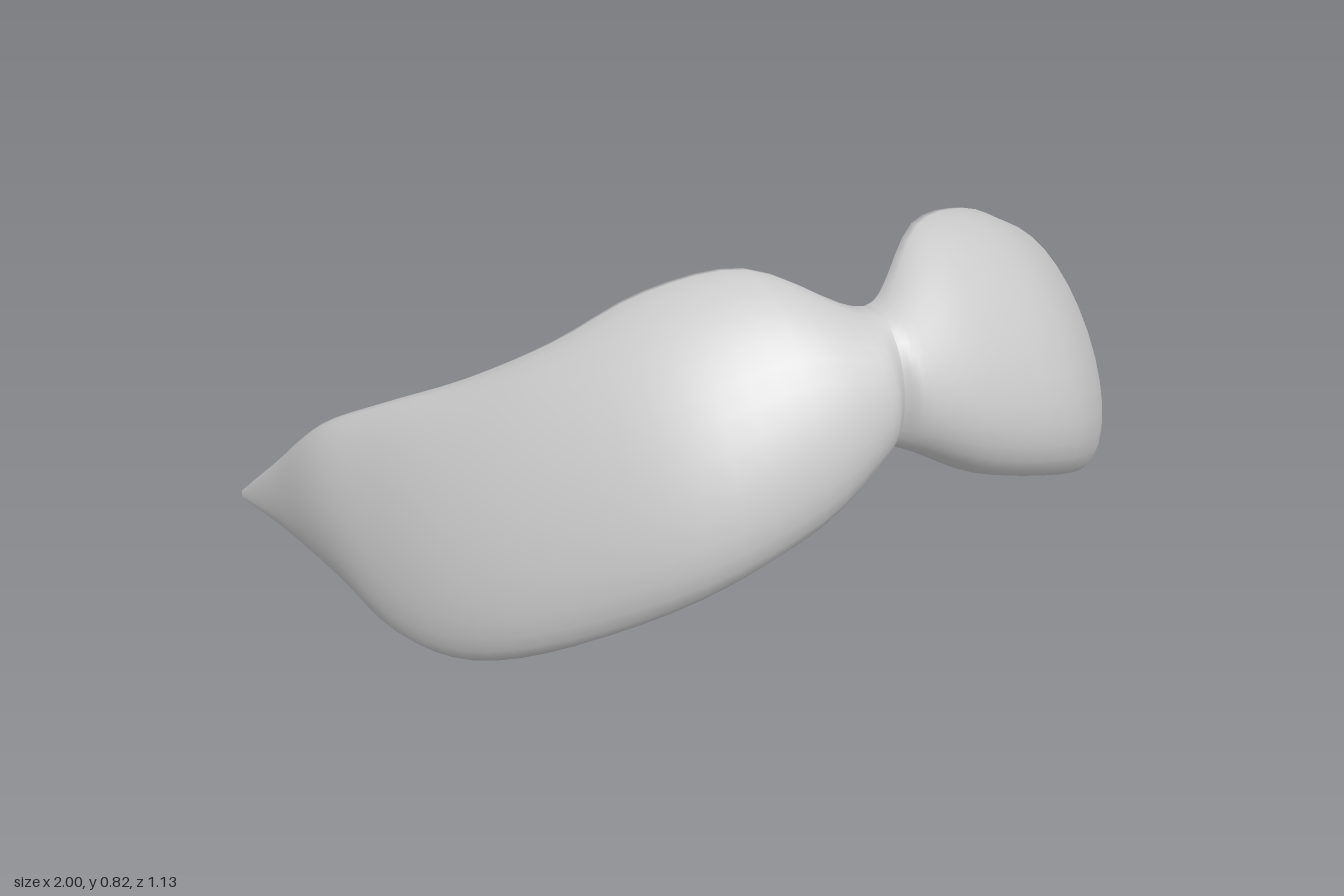
import * as THREE from 'three';

// Each station: top edge xyz, bottom edge xyz, outward direction xz, bulge, lip, hollow
const inner = [
  [0, 0.74, 0.41, 0, 0.46, 0.43, 0, 1, 0.09, 0.085, 0],
  [0.05, 0.752, 0.38, 0.05, 0.44, 0.44, 0, 1, 0.13, 0.07, 0.02],
  [0.2, 0.82, 0.26, 0.2, 0.345, 0.44, 0.05, 1, 0.195, 0.055, 0.05],
  [0.38, 0.785, 0.18, 0.42, 0.25, 0.41, 0.2, 0.98, 0.2, 0.055, 0.07],
  [0.55, 0.685, 0.1, 0.62, 0.13, 0.29, 0.5, 0.86, 0.14, 0.05, 0.06],
  [0.68, 0.585, -0.03, 0.76, 0.045, 0.13, 0.8, 0.6, 0.11, 0.05, 0.05],
];
const leftTail = [
  [0.79, 0.49, -0.18, 0.87, 0.004, -0.05, 0.95, 0.3, 0.07, 0.04, 0.03],
  [0.88, 0.38, -0.32, 0.91, 0.045, -0.25, 0.94, 0.34, 0.06, 0.03, 0.02],
  [0.945, 0.26, -0.43, 0.955, 0.09, -0.41, 0.95, 0.3, 0.03, 0.015, 0.01],
  [0.997, 0.15, -0.535, 0.997, 0.13, -0.53, 1, 0.1, 0.003, 0.003, 0],
];
const rightTail = [
  [0.8, 0.495, -0.18, 0.85, 0.04, -0.03, 0.95, 0.3, 0.07, 0.04, 0.03],
  [0.885, 0.41, -0.31, 0.89, 0.07, -0.24, 0.97, 0.25, 0.055, 0.03, 0.02],
  [0.945, 0.27, -0.45, 0.945, 0.105, -0.43, 0.97, 0.25, 0.025, 0.015, 0.01],
  [0.997, 0.15, -0.57, 0.997, 0.13, -0.565, 1, 0.1, 0.003, 0.003, 0],
];

// Loft of rings with a full rounded front and a hollow, lipped back
function halfGeometry(stations, side) {
  const curve = (f) => new THREE.CatmullRomCurve3(
    stations.map((s) => new THREE.Vector3(...f(s))), false, 'catmullrom', 0.5);
  const top = curve((s) => s.slice(0, 3));
  const bottom = curve((s) => s.slice(3, 6));
  const outward = curve((s) => [s[6], 0, s[7]]);
  const sizes = curve((s) => s.slice(8, 11));

  const rows = 36, ring = 32, pos = [], index = [];
  for (let i = 0; i <= rows; i++) {
    const u = i / rows;
    const t = top.getPoint(u), b = bottom.getPoint(u);
    const n = outward.getPoint(u).normalize(), size = sizes.getPoint(u);
    for (let j = 0; j < ring; j++) {
      const a = (j / ring) * Math.PI * 2;
      const s = Math.abs(Math.sin(a));
      const offset = j <= ring / 2
        ? size.x * s
        : -size.y * Math.sqrt(s) + size.z * s * s;
      const p = t.clone().lerp(b, (1 - Math.cos(a)) / 2).addScaledVector(n, offset);
      pos.push(p.x * side, p.y, p.z);
    }
  }
  for (let i = 0; i < rows; i++) {
    for (let j = 0; j < ring; j++) {
      const k = (j + 1) % ring;
      const a = i * ring + j, b = i * ring + k, c = a + ring, d = b + ring;
      if (side > 0) index.push(a, b, c, b, d, c);
      else index.push(a, c, b, b, c, d);
    }
  }
  const g = new THREE.BufferGeometry();
  g.setAttribute('position', new THREE.Float32BufferAttribute(pos, 3));
  g.setIndex(index);
  g.computeVertexNormals();
  return g;
}

export function createModel() {
  const group = new THREE.Group();
  group.name = 'moustache';
  const material = new THREE.MeshStandardMaterial({ color: 0xcccccc, side: THREE.DoubleSide });
  const add = (name, tail, side) => {
    const mesh = new THREE.Mesh(halfGeometry([...inner, ...tail], side), material);
    mesh.name = name;
    group.add(mesh);
  };
  // Two halves meet in a crease under the nose
  add('leftMoustacheHalf', leftTail, 1);
  add('rightMoustacheHalf', rightTail, -1);
  return group;
}
